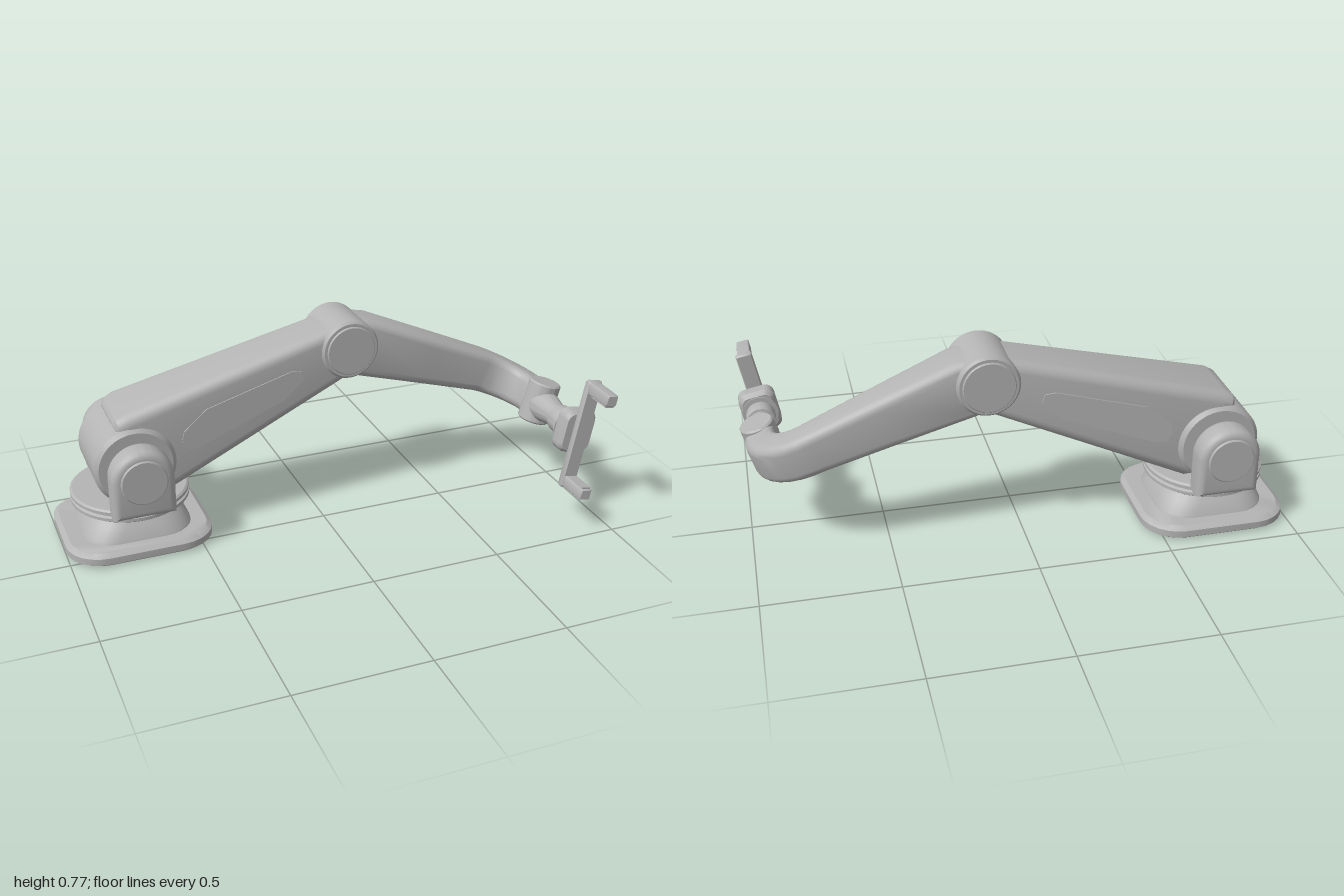
import * as THREE from 'three';
import { toCreasedNormals } from 'three/addons/utils/BufferGeometryUtils.js';

const V = (x, y, z) => new THREE.Vector3(x, y, z);
const MID = -0.19; // z of the arm's centre plane

// Rounded rectangle outline as [a, b] pairs, half sizes h and w
function ringPoints(h, w, r, n = 6) {
  const pts = [];
  for (let q = 0; q < 4; q++) {
    const ca = (q === 0 || q === 3 ? 1 : -1) * (h - r);
    const cb = (q < 2 ? 1 : -1) * (w - r);
    for (let i = 0; i <= n; i++) {
      const t = (q + i / n) * Math.PI / 2;
      pts.push([ca + r * Math.cos(t), cb + r * Math.sin(t)]);
    }
  }
  return pts;
}

// Skin a row of rounded-rectangle sections { c, u, w, h, b, r }, u x w = travel
function loft(sections) {
  const pos = [], idx = [];
  let n = 0;
  for (const s of sections) {
    const ring = ringPoints(s.h, s.b, s.r);
    n = ring.length;
    for (const [a, b] of ring) {
      const p = s.c.clone().addScaledVector(s.u, a).addScaledVector(s.w, b);
      pos.push(p.x, p.y, p.z);
    }
  }
  const last = sections.length - 1;
  for (let i = 0; i < last; i++) for (let j = 0; j < n; j++) {
    const k = (j + 1) % n, a = i * n + j, b = i * n + k;
    idx.push(a, b, b + n, a, b + n, a + n);
  }
  for (let j = 1; j < n - 1; j++) {
    idx.push(0, j + 1, j, last * n, last * n + j, last * n + j + 1);
  }
  const g = new THREE.BufferGeometry();
  g.setAttribute('position', new THREE.Float32BufferAttribute(pos, 3));
  g.setIndex(idx);
  return toCreasedNormals(g, 0.6);
}

// Section standing in the xy plane between a top and a bottom point
function slab(tx, ty, bx, by, z, b, r) {
  const u = V(tx - bx, ty - by, 0), h = u.length() / 2;
  return { c: V((tx + bx) / 2, (ty + by) / 2, z), u: u.normalize(), w: V(0, 0, 1), h, b, r };
}

// Stack of rounded rectangles [y, halfX, halfZ, r]
const stack = rows => loft(rows.map(([y, hx, hz, r]) =>
  ({ c: V(0, y, 0), u: V(0, 0, 1), w: V(1, 0, 0), h: hz, b: hx, r })));

// Solid of revolution about y from [radius, y] pairs, closed at both ends
function turned(rows) {
  const pts = [[0, rows[0][1]], ...rows, [0, rows[rows.length - 1][1]]];
  return toCreasedNormals(new THREE.LatheGeometry(pts.map(p => new THREE.Vector2(...p)), 48), 0.5);
}
const drum = (r, half, c) => turned([[r - c, -half], [r, -half + c], [r, half - c], [r - c, half]]);

export function createModel() {
  const root = new THREE.Group();
  root.name = 'robotArm';
  const grey = new THREE.MeshStandardMaterial({ color: 0xb4b4b4 });
  grey.name = 'grey';
  function add(name, geo, x = 0, y = 0, z = 0, parent = root) {
    const m = new THREE.Mesh(geo, grey);
    m.name = name;
    m.position.set(x, y, z);
    parent.add(m);
    return m;
  }

  // Base
  const bx = -0.72;
  add('basePlate', stack([[0, 0.265, 0.24, 0.13], [0.012, 0.28, 0.255, 0.14],
    [0.038, 0.28, 0.255, 0.14], [0.052, 0.262, 0.237, 0.13]]), bx, 0, MID);
  add('pedestal', stack([[0.045, 0.21, 0.197, 0.12], [0.06, 0.207, 0.192, 0.12],
    [0.10, 0.18, 0.168, 0.12], [0.13, 0.16, 0.147, 0.12], [0.14, 0.15, 0.14, 0.12]]), bx, 0, MID);
  add('swivelCore', drum(0.1, 0.01, 0.001), bx, 0.145, MID);
  add('turntable', turned([[0.215, 0.147], [0.225, 0.154], [0.225, 0.166], [0.215, 0.171],
    [0.215, 0.176], [0.225, 0.18], [0.225, 0.191], [0.217, 0.197]]), bx, 0, MID);

  // Shoulder
  const sy = 0.335;
  add('shoulderHub', drum(0.155, 0.152, 0.015), bx, sy, MID).rotation.x = Math.PI / 2;
  add('shoulderPin', drum(0.087, 0.28, 0.004), bx, sy, MID).rotation.x = Math.PI / 2;
  const arch = new THREE.Shape();
  arch.moveTo(-0.09, -0.122);
  arch.lineTo(0.09, -0.122);
  arch.lineTo(0.09, 0);
  arch.absarc(0, 0, 0.09, 0, Math.PI, false);
  arch.closePath();
  const cheek = new THREE.ExtrudeGeometry(arch, { depth: 0.045, bevelThickness: 0.03,
    bevelSize: 0.028, bevelSegments: 4, curveSegments: 24 });
  cheek.translate(0, 0, -0.0225);
  const cheekGeo = toCreasedNormals(cheek, 0.6);
  for (const s of [1, -1]) {
    add(s > 0 ? 'frontShoulderCheek' : 'rearShoulderCheek', cheekGeo, bx, sy, MID + s * 0.22);
  }

  // Upper arm
  add('upperArm', loft([
    slab(-0.785, 0.495, -0.70, 0.205, MID, 0.122, 0.035),
    slab(-0.775, 0.515, -0.66, 0.20, MID, 0.136, 0.04),
    slab(-0.74, 0.535, -0.60, 0.197, MID, 0.14, 0.045),
    slab(0.05, 0.735, 0.14, 0.535, MID, 0.105, 0.04),
    slab(0.12, 0.755, 0.18, 0.56, MID, 0.10, 0.04)]));

  // Slim side panels following the taper of the upper arm
  const outline = [[-0.54, 0.40], [-0.53, 0.44], [-0.44, 0.515], [-0.10, 0.605], [-0.06, 0.60],
    [-0.05, 0.565], [-0.13, 0.495], [-0.48, 0.365], [-0.52, 0.365]];
  const panelShape = new THREE.Shape(outline.map(p => new THREE.Vector2(...p)));
  for (const s of [1, -1]) {
    const g = new THREE.ExtrudeGeometry(panelShape, { depth: 0.008, bevelEnabled: false });
    g.translate(0, 0, -0.004);
    const p = g.attributes.position;
    for (let i = 0; i < p.count; i++) {
      const t = (p.getX(i) + 0.67 + 0.41 * (p.getY(i) - 0.36)) / 0.878;
      p.setZ(i, p.getZ(i) + MID + s * (0.14 - 0.035 * t));
    }
    g.computeVertexNormals();
    add(s > 0 ? 'frontArmPanel' : 'rearArmPanel', g);
  }

  // Elbow
  add('elbowHub', drum(0.115, 0.118, 0.008), 0.14, 0.655, MID).rotation.x = Math.PI / 2;
  add('elbowCaps', drum(0.096, 0.126, 0.003), 0.14, 0.655, MID).rotation.x = Math.PI / 2;

  // Forearm, straight and then turning towards the front
  const fz = -0.198;
  const fore = [
    slab(0.17, 0.75, 0.10, 0.56, fz, 0.09, 0.035),
    slab(0.26, 0.737, 0.17, 0.523, fz, 0.09, 0.04),
    slab(0.55, 0.611, 0.475, 0.431, fz, 0.077, 0.036)];
  const start = V(0.75, 0.4325, fz), run = V(0.172, -0.078, 0);
  const dir = run.clone().normalize();
  for (let i = 0; i <= 8; i++) {
    const k = i / 8, t = k * Math.PI / 2;
    fore.push({
      c: start.clone().addScaledVector(run, Math.sin(t)).add(V(0, 0, 0.165 * (1 - Math.cos(t)))),
      u: V(0.38 - 0.1 * k, 0.925 + 0.035 * k, 0),
      w: V(0, 0, Math.cos(t)).addScaledVector(dir, -Math.sin(t)),
      h: 0.083 - 0.009 * k, b: 0.066 - 0.007 * k, r: 0.034 });
  }
  fore.push({ ...fore[fore.length - 1], c: V(0.922, 0.3545, 0.0) });
  add('forearm', loft(fore));

  // Wrist
  add('wristJoint', drum(0.064, 0.083, 0.006), 0.922, 0.356, 0.026).rotation.z = -0.28;
  const hand = new THREE.Group();
  hand.name = 'hand';
  hand.position.set(0.922, 0.35, 0);
  hand.rotation.z = -0.19;
  root.add(hand);
  add('wristLink', turned([[0.062, 0.05], [0.06, 0.09], [0.047, 0.15], [0.045, 0.18],
    [0.054, 0.182], [0.056, 0.19], [0.056, 0.235], [0.053, 0.245], [0.05, 0.25],
    [0.068, 0.251], [0.068, 0.26], [0.05, 0.262]]), 0, 0, 0, hand).rotation.x = Math.PI / 2;

  // Blocks lofted along z: rows of [z, halfX, halfY, r]
  const block = rows => loft(rows.map(([z, hx, hy, r]) =>
    ({ c: V(0, 0, z), u: V(1, 0, 0), w: V(0, 1, 0), h: hx, b: hy, r })));
  add('gripperFlange', block([[0.255, 0.058, 0.07, 0.03], [0.27, 0.07, 0.085, 0.035],
    [0.312, 0.07, 0.085, 0.035], [0.327, 0.06, 0.075, 0.03]]), 0, 0, 0, hand);

  // Gripper rail, fingers and pads
  add('gripperRail', block([[0.322, 0.027, 0.216, 0.006], [0.33, 0.031, 0.222, 0.008],
    [0.344, 0.031, 0.222, 0.008], [0.352, 0.027, 0.216, 0.006]]), 0, 0, 0, hand);
  for (const s of [1, -1]) {
    const side = s > 0 ? 'upper' : 'lower';
    add(side + 'Finger', block([[0.34, 0.026, 0.023, 0.006], [0.465, 0.024, 0.022, 0.006],
      [0.471, 0.02, 0.018, 0.005]]), 0, s * 0.194, 0, hand);
    add(side + 'Pad', new THREE.BoxGeometry(0.036, 0.008, 0.095), 0, s * 0.169, 0.415, hand);
  }
  return root;
}
